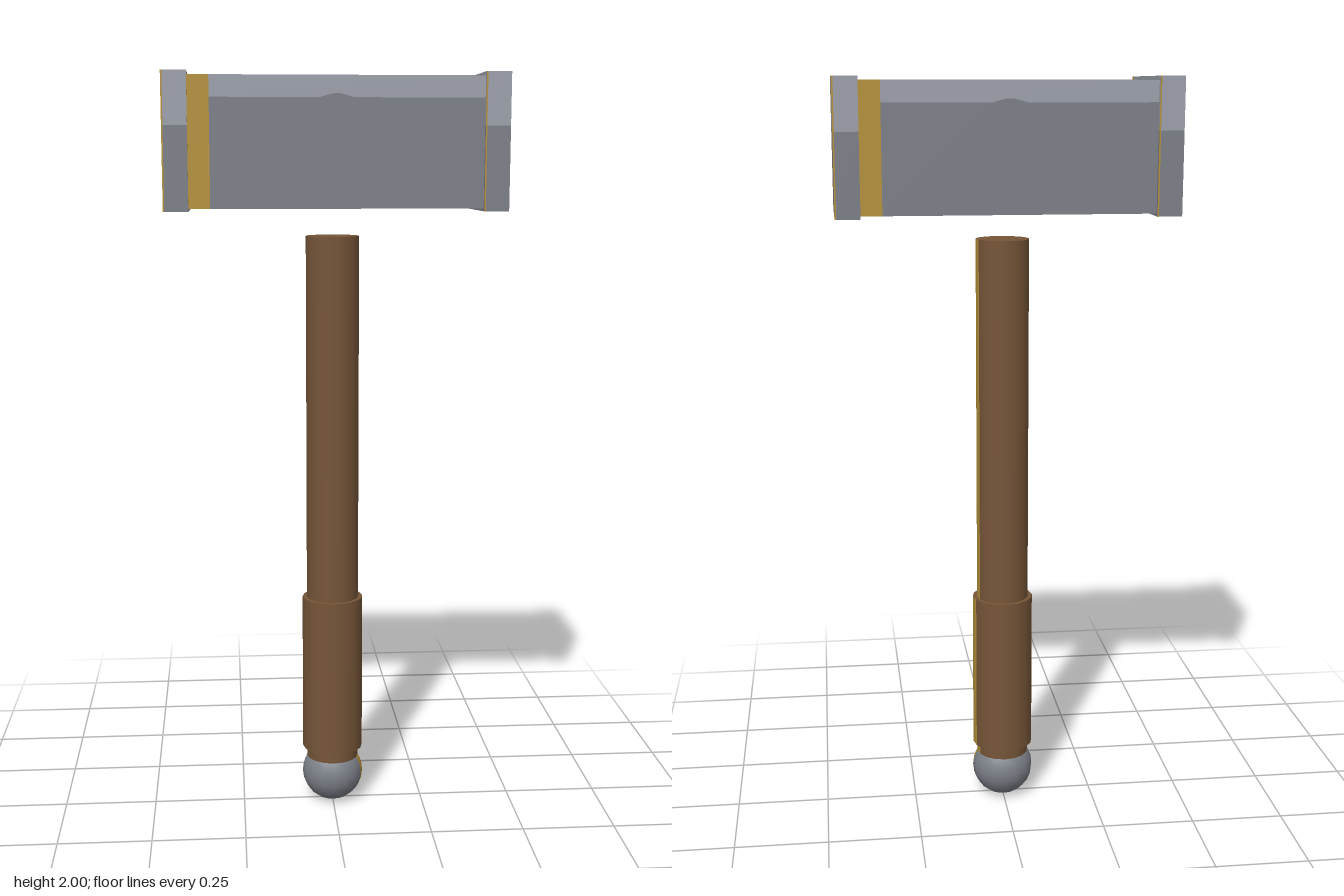
import * as THREE from 'three';
import { mergeGeometries } from 'three/addons/utils/BufferGeometryUtils.js';

const mat = (name, color) => {
  const m = new THREE.MeshStandardMaterial({ color });
  m.name = name;
  return m;
};

export function createModel() {
  const steel = mat('steel', 0x7c8088);
  const paleSteel = mat('pale steel', 0x9da1ac);
  const gold = mat('gold', 0xb59239);
  const wood = mat('wood', 0x765538);
  const model = new THREE.Group();
  model.name = 'hammer';

  const add = (parent, name, geometry, material, y = 0) => {
    const mesh = new THREE.Mesh(geometry, material);
    mesh.name = name;
    mesh.position.y = y;
    parent.add(mesh);
    return mesh;
  };

  // Right and up directions of the six block faces
  const X = [1, 0, 0], Y = [0, 1, 0], Z = [0, 0, 1];
  const neg = (a) => a.map((v) => -v);
  const sides = [[neg(Z), Y], [Z, Y], [X, neg(Z)], [X, Z], [X, Y], [neg(X), Y]];

  // Block whose every face has a gold strip at its left and a pale band at its top
  function bandedBlock(name, size, position, strip, band, bump) {
    const group = new THREE.Group();
    group.name = name;
    group.position.set(...position);
    const edge = [[strip, 1 - band], [0.44, 1 - band], [0.49, 1 - band + bump],
      [0.51, 1 - band + bump], [0.56, 1 - band], [1, 1 - band]];
    const regions = [
      ['Strip', gold, [[0, 0], [strip, 0], [strip, 1], [0, 1]]],
      ['Body', steel, [[strip, 0], [1, 0], ...[...edge].reverse()]],
      ['Band', paleSteel, [...edge, [1, 1], [strip, 1]]],
    ];
    for (const [part, material, outline] of regions) {
      const shape = new THREE.Shape(outline.map(([u, v]) => new THREE.Vector2(u - 0.5, v - 0.5)));
      const faces = sides.map(([r, u]) => {
        const right = new THREE.Vector3(...r), up = new THREE.Vector3(...u);
        const normal = right.clone().cross(up);
        const g = new THREE.ShapeGeometry(shape).translate(0, 0, 0.5);
        return g.applyMatrix4(new THREE.Matrix4().makeBasis(right, up, normal)).scale(...size);
      });
      add(group, name + part, mergeGeometries(faces), material);
    }
    model.add(group);
  }

  // Head with a wider plate at each end
  bandedBlock('headBlock', [0.75, 0.33, 0.327], [0, 1.825, -0.003], 0.073, 0.165, 0.03);
  for (const s of [-1, 1]) {
    bandedBlock(s > 0 ? 'leftEndPlate' : 'rightEndPlate',
      [0.064, 0.347, 0.35], [s * 0.407, 1.8265, -0.003], 0.06, 0.385, 0);
  }

  // Round handle parts with one gold strip behind the +x line
  const SEG = Math.PI / 8;
  function rod(name, radius, y0, y1) {
    const group = new THREE.Group();
    group.name = name;
    const h = y1 - y0, mid = (y0 + y1) / 2;
    add(group, name + 'Wood', new THREE.CylinderGeometry(radius, radius, h, 15, 1, true,
      Math.PI / 2 + SEG, SEG * 15), wood, mid);
    add(group, name + 'Strip', new THREE.CylinderGeometry(radius, radius, h, 1, 1, true,
      Math.PI / 2, SEG), gold, mid);
    for (const s of [-1, 1]) {
      const disc = new THREE.CircleGeometry(radius, 16).rotateX(-s * Math.PI / 2);
      add(group, name + 'End', disc, wood, s > 0 ? y1 : y0);
    }
    model.add(group);
  }
  rod('shaft', 0.071, 0.1, 1.585);
  rod('grip', 0.083, 0.16, 0.595);

  // Pommel ball with a gold wedge in front of the +x line
  const pommel = new THREE.Group();
  pommel.name = 'pommel';
  add(pommel, 'pommelBall', new THREE.SphereGeometry(0.084, 15, 12, Math.PI, SEG * 15), steel, 0.086);
  add(pommel, 'pommelWedge', new THREE.SphereGeometry(0.084, 1, 12, Math.PI - SEG, SEG), gold, 0.086);
  model.add(pommel);

  return model;
}
